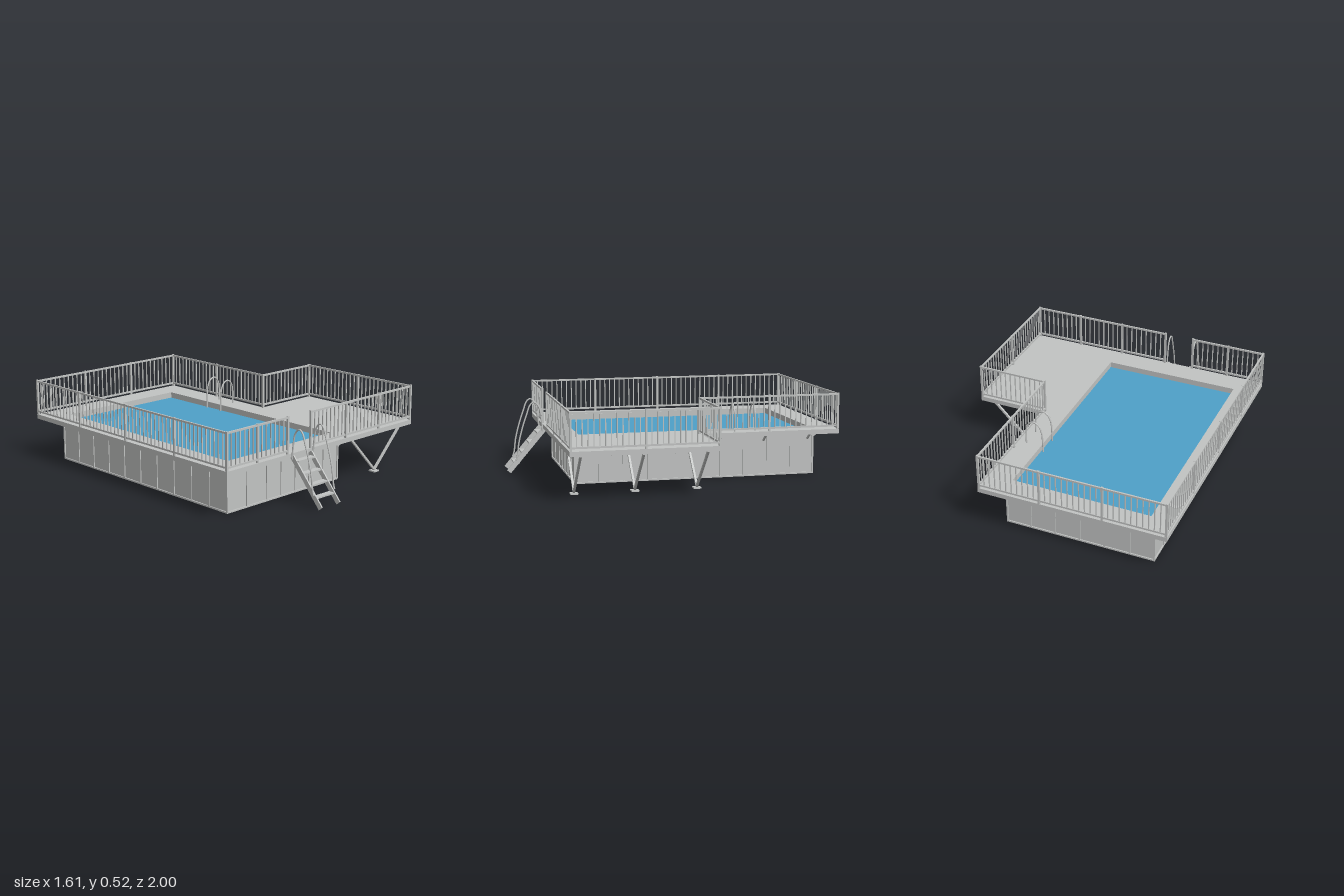
import * as THREE from 'three';

const metal = new THREE.MeshStandardMaterial({ color: 0xc2c4c3 });
metal.name = 'light grey';
const waterBlue = new THREE.MeshStandardMaterial({ color: 0x4fa1c8 });
waterBlue.name = 'water blue';
const floorBlue = new THREE.MeshStandardMaterial({ color: 0x2c6ba4 });
floorBlue.name = 'pool floor blue';

const V = (x, y, z) => new THREE.Vector3(x, y, z);

function group(parent, name) {
  const g = new THREE.Group();
  g.name = name;
  parent.add(g);
  return g;
}

function add(parent, name, geometry, material = metal) {
  const m = new THREE.Mesh(geometry, material);
  m.name = name;
  parent.add(m);
  return m;
}

function box(parent, name, w, h, d, x, y, z, material = metal) {
  const m = add(parent, name, new THREE.BoxGeometry(w, h, d), material);
  m.position.set(x, y, z);
  return m;
}

// Straight bar of section w x h between two points
function bar(parent, name, a, b, w, h = w) {
  const m = add(parent, name, new THREE.BoxGeometry(w, h, a.distanceTo(b)));
  m.position.copy(a).add(b).multiplyScalar(0.5);
  m.lookAt(b);
  return m;
}

function pipe(parent, name, points, radius) {
  const curve = new THREE.CatmullRomCurve3(points);
  return add(parent, name, new THREE.TubeGeometry(curve, 32, radius, 8));
}

// Flat slab in plan, from outline and hole given as [x, z], between two heights
function slab(parent, name, outline, hole, bottom, top) {
  const pts = (list) => list.map(([x, z]) => new THREE.Vector2(x, z));
  const shape = new THREE.Shape(pts(outline));
  if (hole) shape.holes.push(new THREE.Path(pts(hole)));
  const geo = new THREE.ExtrudeGeometry(shape, { depth: top - bottom, bevelEnabled: false });
  geo.rotateX(Math.PI / 2);
  geo.translate(0, top, 0);
  return add(parent, name, geo);
}

const rect = (x0, z0, x1, z1) => [[x0, z0], [x1, z0], [x1, z1], [x0, z1]];
const WALL = { x0: -0.69, x1: 0.245, z0: -0.877, z1: 0.64 };
const OPENING = rect(-0.655, -0.852, 0.208, 0.606);
const OUTLINE = [[-0.803, -1], [0.36, -1], [0.36, -0.116], [0.803, -0.116], [0.803, 0.755], [-0.803, 0.755]];
const DECK = 0.295;

function buildPool(root) {
  const pool = group(root, 'pool');
  const { x0, x1, z0, z1 } = WALL;
  const cx = (x0 + x1) / 2, cz = (z0 + z1) / 2;
  slab(pool, 'poolWall', rect(x0 + 0.006, z0 + 0.006, x1 - 0.006, z1 - 0.006), OPENING, 0.006, 0.284);
  box(pool, 'water', 0.864, 0.006, 1.459, -0.2235, 0.255, -0.123, waterBlue);
  box(pool, 'poolFloor', x1 - x0 - 0.014, 0.006, z1 - z0 - 0.014, cx, 0.005, cz, floorBlue);

  // Panel ribs and horizontal edges on the outside
  const ribsFront = [-0.53, -0.37, -0.25, -0.13, -0.01, 0.115];
  for (const x of ribsFront) box(pool, 'wallRib', 0.01, 0.26, 0.008, x, 0.135, z1 - 0.004);
  for (let i = 1; i < 6; i++) box(pool, 'wallRib', 0.01, 0.26, 0.008, x0 + (x1 - x0) * i / 6, 0.135, z0 + 0.004);
  for (const x of [x0 + 0.004, x1 - 0.004]) {
    for (let i = 1; i < 10; i++) box(pool, 'wallRib', 0.008, 0.26, 0.01, x, 0.135, z0 + (z1 - z0) * i / 10);
    for (const z of [z0 + 0.004, z1 - 0.004]) box(pool, 'cornerPost', 0.01, 0.26, 0.01, x, 0.135, z);
    for (const y of [0.005, 0.26]) box(pool, 'wallEdge', 0.01, 0.01, z1 - z0, x, y, cz);
  }
  for (const z of [z0 + 0.004, z1 - 0.004])
    for (const y of [0.005, 0.26]) box(pool, 'wallEdge', x1 - x0, 0.01, 0.01, cx, y, z);

  // Diagonal brackets holding the walkway
  const bracket = (ax, az, dx, dz) =>
    bar(pool, 'walkwayBracket', V(ax, 0.222, az), V(ax + dx, 0.27, az + dz), 0.01);
  for (const x of [-0.645, -0.365, -0.085, 0.2]) {
    bracket(x, z1, 0, 0.065);
    bracket(x, z0, 0, -0.065);
  }
  for (let i = 0; i < 6; i++) {
    const z = -0.835 + i * 0.287;
    bracket(x0, z, -0.065, 0);
    if (i < 3) bracket(x1, z, 0.065, 0);
  }
}

function buildDeck(root) {
  const deck = group(root, 'deck');
  slab(deck, 'deckBoards', OUTLINE, OPENING, 0.28, DECK);
  // Fascia around the edge
  OUTLINE.forEach(([ax, az], i) => {
    const [bx, bz] = OUTLINE[(i + 1) % OUTLINE.length];
    const dx = bx - ax, dz = bz - az, len = Math.hypot(dx, dz), t = 0.006;
    box(deck, 'deckFascia', Math.abs(dx) || 2 * t, 0.026, Math.abs(dz) || 2 * t,
      (ax + bx) / 2 - dz / len * t, 0.279, (az + bz) / 2 + dx / len * t);
  });

  // Joists, V legs and feet below the wide part of the deck
  const support = group(root, 'deckSupport');
  for (const z of [0.69, 0.51, 0.33, 0.14, -0.045]) box(support, 'joist', 0.55, 0.022, 0.018, 0.522, 0.272, z);
  for (const z of [0.69, 0.33, -0.045]) {
    for (const x of [0.285, 0.785]) bar(support, 'supportLeg', V(x, 0.268, z), V(0.531, 0.012, z), 0.013);
    box(support, 'supportFoot', 0.046, 0.008, 0.046, 0.531, 0.004, z);
  }
}

// Posts at the stops, rails between them, and thin balusters
function buildRailing(root, name, stops) {
  const g = group(root, name);
  stops.forEach(([ax, az], i) => {
    box(g, 'railingPost', 0.013, 0.225, 0.013, ax, 0.407, az);
    if (i === stops.length - 1) return;
    const [bx, bz] = stops[i + 1];
    const dx = bx - ax, dz = bz - az;
    for (const y of [0.315, 0.511])
      box(g, 'rail', Math.abs(dx) || 0.01, 0.011, Math.abs(dz) || 0.01, (ax + bx) / 2, y, (az + bz) / 2);
    const n = Math.round(Math.hypot(dx, dz) / 0.034);
    for (let k = 1; k < n; k++)
      box(g, 'baluster', 0.006, 0.19, 0.006, ax + dx * k / n, 0.413, az + dz * k / n);
  });
}

function buildStairs(root) {
  const stairs = group(root, 'entryLadder');
  for (const s of [-1, 1]) {
    const x = -0.22 + s * 0.075;
    bar(stairs, 'ladderStringer', V(x, 0.28, 0.765), V(x, 0.02, 0.988), 0.009, 0.03);
    const hx = -0.22 + s * 0.088;
    pipe(stairs, 'ladderHandrail', [
      V(hx, 0.09, 0.945), V(hx, 0.115, 0.936), V(hx, 0.2, 0.925), V(hx, 0.3, 0.9), V(hx, 0.38, 0.873),
      V(hx, 0.44, 0.85), V(hx, 0.455, 0.825), V(hx, 0.42, 0.795), V(hx, 0.34, 0.781), V(hx, 0.27, 0.775)], 0.005);
  }
  for (const [y, z] of [[0.257, 0.79], [0.193, 0.84], [0.134, 0.887], [0.073, 0.937]])
    box(stairs, 'ladderTread', 0.146, 0.009, 0.038, -0.22, y, z);
}

function buildPoolLadder(root) {
  const ladder = group(root, 'poolLadder');
  for (const z of [-0.475, -0.345])
    pipe(ladder, 'poolLadderHandle', [
      V(0.304, 0.285, z), V(0.305, 0.36, z), V(0.296, 0.42, z), V(0.272, 0.45, z), V(0.246, 0.454, z),
      V(0.218, 0.435, z), V(0.2, 0.39, z), V(0.195, 0.32, z), V(0.193, 0.2, z)], 0.005);
  box(ladder, 'poolLadderStep', 0.03, 0.008, 0.13, 0.19, 0.21, -0.41);
}

export function createModel() {
  const model = new THREE.Group();
  model.name = 'raisedPool';
  buildPool(model);
  buildDeck(model);
  const L = -0.796, R = 0.796, F = 0.748, B = -0.993, N = 0.353, M = -0.11;
  // One run either side of the entry gap
  buildRailing(model, 'railingMain', [
    [-0.318, F], [-0.56, F], [L, F], [L, 0.32], [L, -0.115], [L, -0.555], [L, B],
    [-0.415, B], [-0.03, B], [N, B], [N, -0.55], [N, M], [R, M], [R, 0.32], [R, F],
    [0.49, F], [0.185, F], [-0.125, F]]);
  buildStairs(model);
  buildPoolLadder(model);
  return model;
}
